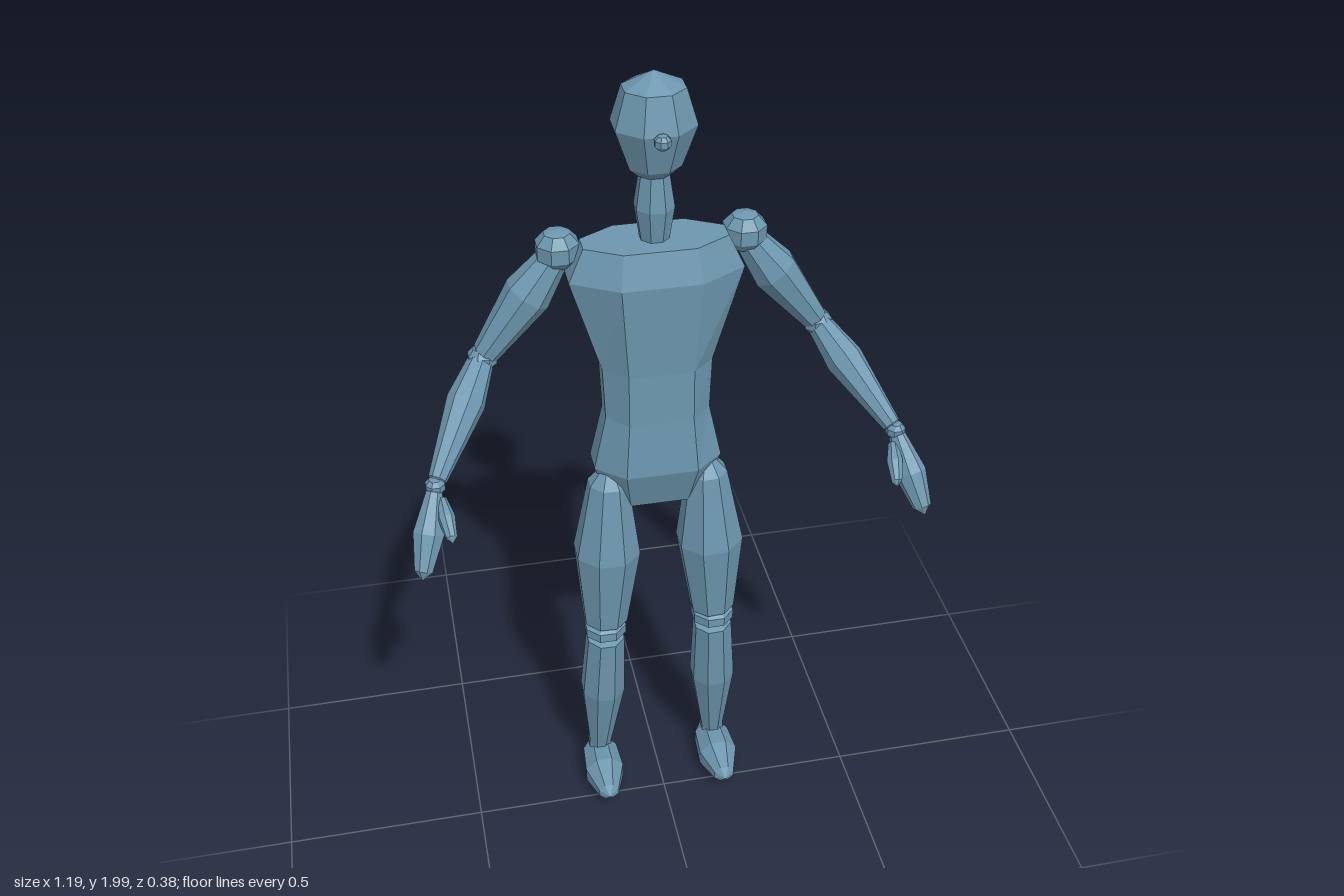
import * as THREE from 'three';

const paint = new THREE.MeshStandardMaterial({ color: 0x6c96ae, flatShading: true });
paint.name = 'steelBlue';

const SIDES = 8;
const UP = new THREE.Vector3(0, 1, 0);

// Eight-sided tapered form from point a to point b; profile lists [fraction, radius]
function limb(name, a, b, profile, depth = 1) {
  const from = new THREE.Vector3(...a);
  const axis = new THREE.Vector3(...b).sub(from);
  const length = axis.length();
  const grow = 1 / Math.cos(Math.PI / SIDES);
  const points = profile.map(([t, r]) => new THREE.Vector2(r * grow, t * length));
  const geometry = new THREE.LatheGeometry(points, SIDES, Math.PI / SIDES);
  geometry.scale(1, 1, depth);
  geometry.applyQuaternion(new THREE.Quaternion().setFromUnitVectors(UP, axis.normalize()));
  const mesh = new THREE.Mesh(geometry, paint);
  mesh.name = name;
  mesh.position.copy(from);
  return mesh;
}

// Faceted ball joint
function ball(name, x, y, z, r, height = r) {
  return limb(name, [x, y - height, z], [x, y + height, z],
    [[0, 0], [0.08, r * 0.6], [0.32, r], [0.68, r], [0.92, r * 0.6], [1, 0]]);
}

// Torso lofted through octagonal sections: [y, half width, flat half width, back z, front z]
function torso() {
  const sections = [
    [0.94, 0.115, 0.07, -0.17, -0.05],
    [1.05, 0.152, 0.085, -0.19, -0.012],
    [1.19, 0.122, 0.075, -0.172, -0.022],
    [1.32, 0.127, 0.075, -0.172, -0.022],
    [1.55, 0.195, 0.09, -0.193, -0.008],
    [1.625, 0.16, 0.08, -0.172, -0.032],
  ];
  const positions = [];
  const index = [];
  for (const [y, w, f, back, front] of sections) {
    const c = (back + front) / 2;
    const d = (front - back) / 2;
    const ring = [[f, d], [w, d * 0.35], [w, -d * 0.35], [f, -d],
      [-f, -d], [-w, -d * 0.35], [-w, d * 0.35], [-f, d]];
    for (const [x, z] of ring) positions.push(x, y, c + z);
  }
  const top = (sections.length - 1) * 8;
  for (let s = 0; s < top; s += 8) {
    for (let i = 0; i < 8; i++) {
      const a = s + i;
      const b = s + (i + 1) % 8;
      index.push(a, b, b + 8, a, b + 8, a + 8);
    }
  }
  for (let i = 1; i < 7; i++) {
    index.push(0, i + 1, i, top, top + i, top + i + 1);
  }
  const geometry = new THREE.BufferGeometry();
  geometry.setAttribute('position', new THREE.Float32BufferAttribute(positions, 3));
  geometry.setIndex(index);
  geometry.computeVertexNormals();
  const mesh = new THREE.Mesh(geometry, paint);
  mesh.name = 'torso';
  return mesh;
}

function arm(side, s) {
  const group = new THREE.Group();
  group.name = side + 'Arm';
  const elbow = [s * 0.388, 1.352, -0.128];
  const wrist = [s * 0.527, 1.165, 0.075];
  group.add(
    ball('shoulder', s * 0.208, 1.604, -0.132, 0.046),
    limb('upperArm', [s * 0.205, 1.6, -0.132], elbow,
      [[0, 0], [0.02, 0.03], [0.4, 0.05], [0.95, 0.029], [1, 0]]),
    ball('elbow', ...elbow, 0.031),
    limb('forearm', elbow, wrist,
      [[0, 0], [0.04, 0.028], [0.35, 0.041], [0.95, 0.02], [1, 0]]),
    ball('wrist', ...wrist, 0.021),
    limb('hand', wrist, [s * 0.58, 0.99, 0.182],
      [[0, 0], [0.06, 0.018], [0.5, 0.034], [0.9, 0.02], [1, 0]]),
    limb('thumb', [s * 0.517, 1.145, 0.09], [s * 0.505, 1.082, 0.18],
      [[0, 0], [0.05, 0.01], [0.45, 0.018], [0.88, 0.012], [1, 0]]),
  );
  return group;
}

function leg(side, s) {
  const group = new THREE.Group();
  group.name = side + 'Leg';
  group.add(
    limb('thigh', [s * 0.138, 0.575, -0.066], [s * 0.118, 1.043, -0.075],
      [[0, 0], [0.02, 0.052], [0.49, 0.077], [0.92, 0.046], [1, 0.018], [1, 0]]),
    ball('knee', s * 0.139, 0.557, -0.066, 0.05, 0.034),
    limb('shin', [s * 0.156, 0.1, -0.11], [s * 0.139, 0.54, -0.064],
      [[0, 0], [0.01, 0.028], [0.52, 0.054], [0.97, 0.046], [1, 0]]),
    ball('ankle', s * 0.157, 0.1, -0.112, 0.029),
    limb('foot', [s * 0.156, 0.054, -0.167], [s * 0.158, 0.054, 0.058],
      [[0, 0], [0.02, 0.018], [0.24, 0.045], [0.6, 0.05], [0.92, 0.026], [1, 0]], 0.96),
  );
  return group;
}

export function createModel() {
  const model = new THREE.Group();
  model.name = 'mannequin';
  model.add(
    torso(),
    limb('neck', [0, 1.61, -0.105], [0, 1.79, -0.103],
      [[0, 0], [0, 0.029], [0.5, 0.042], [0.97, 0.03], [1, 0]]),
    limb('head', [0, 1.775, -0.103], [0, 2, -0.103],
      [[0, 0], [0, 0.035], [0.09, 0.056], [0.5, 0.087], [0.85, 0.064], [1, 0]], 0.9),
    ball('nose', 0, 1.883, -0.013, 0.017),
  );
  for (const [side, s] of [['left', 1], ['right', -1]]) model.add(arm(side, s), leg(side, s));
  return model;
}
